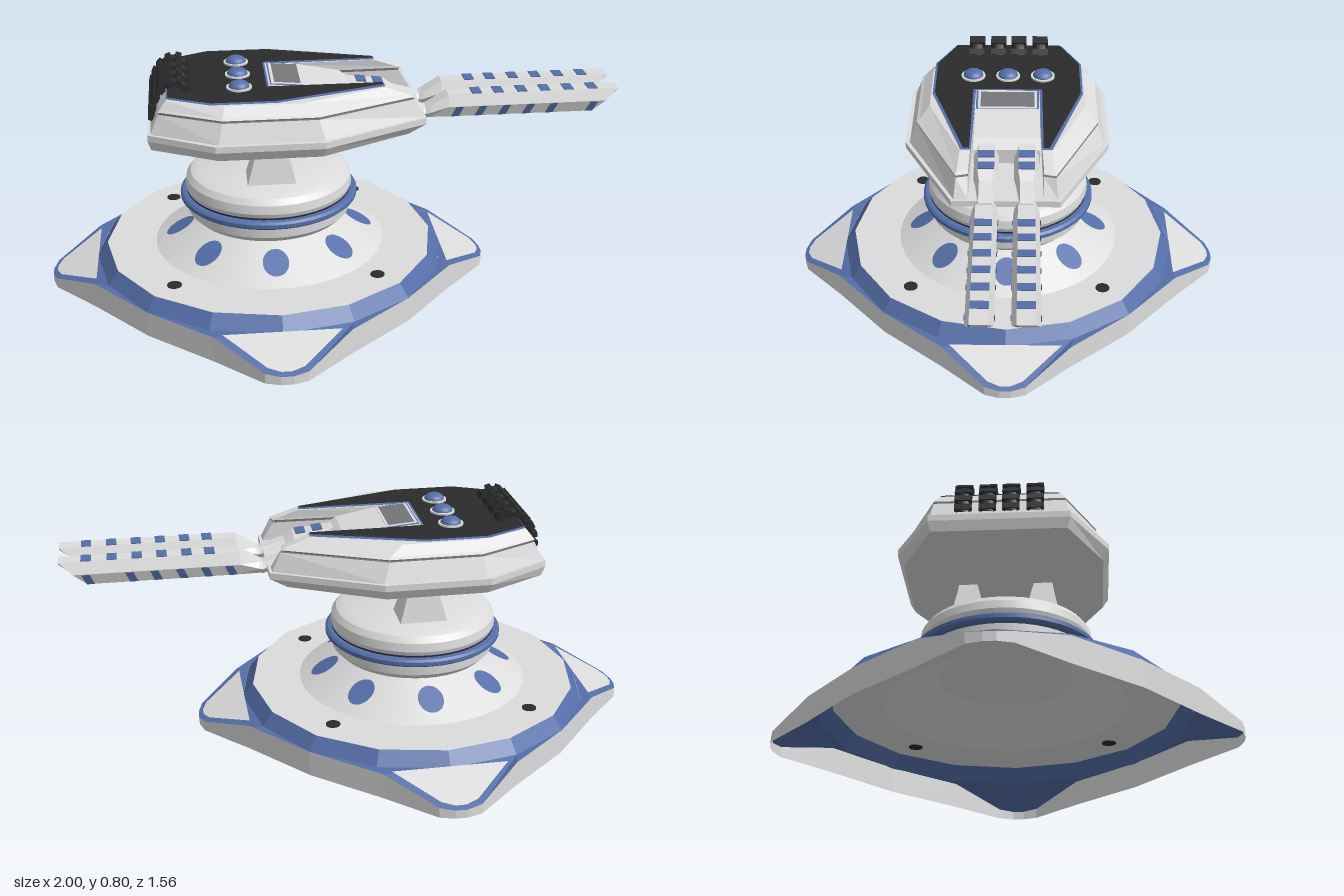
import * as THREE from 'three';
import { toCreasedNormals } from 'three/addons/utils/BufferGeometryUtils.js';

const mat = (name, color) => new THREE.MeshStandardMaterial({ name, color, side: THREE.DoubleSide });

// Flat-shaded skin between closed rings of [x, y, z] points
function loft(rings) {
  const pos = [];
  for (let r = 0; r + 1 < rings.length; r++) {
    const a = rings[r], b = rings[r + 1], n = a.length;
    for (let i = 0; i < n; i++) {
      const j = (i + 1) % n;
      pos.push(...a[i], ...a[j], ...b[i], ...a[j], ...b[j], ...b[i]);
    }
  }
  return fromPositions(pos);
}
function fromPositions(pos) {
  const g = new THREE.BufferGeometry();
  g.setAttribute('position', new THREE.Float32BufferAttribute(pos, 3));
  g.computeVertexNormals();
  return g;
}
const quad = (a, b, c, d) => fromPositions([...a, ...b, ...c, ...a, ...c, ...d]);

// Upward-facing polygon from [x, z] points, with height given by a rule
function flat(points, height) {
  const g = new THREE.ShapeGeometry(new THREE.Shape(points.map(([x, z]) => new THREE.Vector2(x, -z))));
  g.rotateX(-Math.PI / 2);
  const p = g.attributes.position;
  for (let i = 0; i < p.count; i++) p.setY(i, height(p.getX(i)));
  const out = g.toNonIndexed();
  out.computeVertexNormals();
  return out;
}
const mirror = half => [...half, ...half.slice().reverse().map(([x, z]) => [x, -z])];
const ring = (y, half) => mirror(half).map(([x, z]) => [x, y, z]);
const lathe = (pts, n = 48) => toCreasedNormals(
  new THREE.LatheGeometry(pts.map(p => new THREE.Vector2(...p)), n), 0.5);

export function createModel() {
  const light = mat('light grey', 0xdcdcdc), blue = mat('blue', 0x546ea8);
  const black = mat('black', 0x2b2b2b), grey = mat('dark grey', 0x777577);
  const model = new THREE.Group();
  const add = (parent, name, geo, material, x = 0, y = 0, z = 0) => {
    const m = new THREE.Mesh(geo, material);
    m.name = name;
    m.position.set(x, y, z);
    parent.add(m);
    return m;
  };

  // Base: open shell with four pointed feet
  const base = new THREE.Group();
  base.name = 'base';
  base.position.x = -0.22;
  model.add(base);
  const slope = x => 0.09 - Math.max(0, x - 0.62) * 0.375;
  const foot = [[0.62, -0.225], [0.765, -0.07], [0.78, -0.02], [0.78, 0.02], [0.765, 0.07], [0.62, 0.225]];
  const edge = [[0.438, -0.438], ...foot, [0.438, 0.438]];
  const inset = [[0.615, -0.195], [0.748, -0.06], [0.765, -0.018], [0.765, 0.018], [0.748, 0.06], [0.615, 0.195]];
  for (let k = 0; k < 4; k++) {
    const corner = new THREE.Group();
    corner.name = 'foot';
    corner.rotation.y = k * Math.PI / 2;
    base.add(corner);
    const wall = [];
    for (let i = 0; i + 1 < edge.length; i++) {
      const [a, b] = [edge[i], edge[i + 1]];
      const A = [a[0], 0, a[1]], B = [b[0], 0, b[1]];
      const C = [b[0], slope(b[0]), b[1]], D = [a[0], slope(a[0]), a[1]];
      wall.push(...A, ...C, ...B, ...A, ...D, ...C);
    }
    add(corner, 'footWall', fromPositions(wall), light);
    add(corner, 'footTop', flat([...edge, [0.573, 0.237], [0.62, 0], [0.573, -0.237]], slope), blue);
    add(corner, 'footPanel', flat(inset, x => slope(x) + 0.004), light);
    // Bolt holes on the deck
    const hole = new THREE.CylinderGeometry(0.025, 0.025, 0.006, 16);
    add(corner, 'boltHole', hole, black, 0.345, 0.135, 0.345);
  }
  const sixteen = pts => new THREE.LatheGeometry(pts.map(p => new THREE.Vector2(...p)), 16).toNonIndexed();
  const facet = g => { g.computeVertexNormals(); return g; };
  add(base, 'baseBand', facet(sixteen([[0.62, 0.088], [0.582, 0.135]])), blue);
  add(base, 'baseDeck', facet(sixteen([[0.582, 0.135], [0.405, 0.135]])), light);
  add(base, 'baseCone', lathe([[0.408, 0.135], [0.225, 0.235], [0, 0.235]]), light);
  for (let k = 0; k < 8; k++) {
    const spoke = new THREE.Group();
    spoke.name = 'coneSpot';
    spoke.rotation.y = k * Math.PI / 4;
    base.add(spoke);
    const g = new THREE.CircleGeometry(1, 24).rotateY(Math.PI / 2).scale(1, 0.056, 0.045).rotateZ(1.07);
    add(spoke, 'spot', g, blue, 0.32, 0.1875, 0);
  }

  // Turntable
  add(base, 'turntableLower', lathe([[0.2, 0.234], [0.265, 0.242], [0.288, 0.265], [0.29, 0.302], [0.27, 0.305]]), light);
  add(base, 'turntableRing', lathe([[0.27, 0.303], [0.305, 0.305], [0.313, 0.312], [0.313, 0.325],
    [0.305, 0.332], [0.27, 0.334]]), blue);
  add(base, 'turntableGroove', lathe([[0.29, 0.334], [0.29, 0.34]]), black);
  add(base, 'turntableUpper', lathe([[0.27, 0.34], [0.288, 0.34], [0.294, 0.355], [0.29, 0.385], [0.275, 0.405],
    [0.245, 0.418], [0, 0.42]]), light);

  // Fork holding the head
  const slab = (y, hx, z0, z1) => [[-hx, y, z0], [hx, y, z0], [hx, y, z1], [-hx, y, z1]];
  for (const s of [1, -1]) {
    add(base, 'forkArm', loft([slab(0.41, 0.085, s * 0.06, s * 0.19), slab(0.55, 0.045, s * 0.09, s * 0.165),
      slab(0.59, 0.035, s * 0.1, s * 0.16)]), light);
  }
  add(base, 'forkAxle', new THREE.CylinderGeometry(0.028, 0.028, 0.2, 20).rotateX(Math.PI / 2), light, 0, 0.485, 0);

  // Head hull
  const head = new THREE.Group();
  head.name = 'head';
  model.add(head);
  const low = [[-0.62, 0.22], [-0.4, 0.335], [-0.06, 0.335], [0.25, 0.175], [0.25, 0.08]];
  const mid = [[-0.63, 0.23], [-0.41, 0.355], [-0.05, 0.355], [0.31, 0.18], [0.31, 0.1]];
  const rim = [[-0.62, 0.225], [-0.4, 0.34], [-0.05, 0.34], [0.3, 0.172], [0.3, 0.125], [-0.22, 0.115]];
  const shoulder = [[-0.592, 0.215], [-0.385, 0.315], [-0.07, 0.315], [0.27, 0.165], [0.26, 0.125], [-0.22, 0.115]];
  const groove = [[-0.588, 0.212], [-0.383, 0.305], [-0.075, 0.305], [0.255, 0.162], [0.25, 0.125], [-0.22, 0.115]];
  const top = [[-0.565, 0.2], [-0.375, 0.272], [-0.12, 0.272], [0.17, 0.155], [0.17, 0.12], [-0.22, 0.115]];
  add(head, 'lowerHull', loft([ring(0.58, low), ring(0.615, mid), ring(0.637, mid)]), light);
  add(head, 'hullBottom', flat(mirror(low), () => 0.58), light);
  add(head, 'hullLedge', flat(mirror(mid), () => 0.637), light);
  add(head, 'hullSides', loft([ring(0.637, rim), ring(0.702, shoulder)]), light);
  add(head, 'hullGroove', loft([ring(0.702, shoulder), ring(0.702, groove), ring(0.71, groove)]), grey);
  add(head, 'upperHull', loft([ring(0.71, shoulder), ring(0.716, groove), ring(0.745, top)]), light);
  add(head, 'hullTop', flat(mirror(top), () => 0.745), light);

  // Black deck with blue trim
  const trim = [[-0.565, 0.195], [-0.42, 0.266], [-0.2, 0.266], [0.17, 0.153], [0.17, 0.118], [-0.22, 0.113]];
  const deck = [[-0.56, 0.19], [-0.418, 0.258], [-0.202, 0.258], [0.165, 0.143], [0.165, 0.124], [-0.227, 0.122]];
  add(head, 'deckTrim', flat(mirror(trim), () => 0.748), blue);
  add(head, 'deck', flat(mirror(deck), () => 0.752), black);

  // Domed lamps
  for (const z of [-0.125, 0, 0.125]) {
    add(head, 'lampRing', new THREE.CylinderGeometry(0.043, 0.043, 0.008, 24), light, -0.32, 0.754, z);
    const dome = new THREE.SphereGeometry(0.036, 20, 8, 0, Math.PI * 2, 0, Math.PI / 2).scale(1, 0.65, 1);
    add(head, 'lamp', dome, blue, -0.32, 0.756, z);
  }

  // Ribbed hoses at the back
  const path = new THREE.CatmullRomCurve3([[-0.615, 0.65], [-0.608, 0.71], [-0.575, 0.765], [-0.535, 0.782],
    [-0.503, 0.77], [-0.488, 0.745]].map(([x, y]) => new THREE.Vector3(x, y, 0)));
  for (const z of [-0.117, -0.038, 0.038, 0.117]) {
    const hose = new THREE.Group();
    hose.name = 'hose';
    hose.position.z = z;
    head.add(hose);
    add(hose, 'hoseCore', new THREE.TubeGeometry(path, 20, 0.01, 8).scale(1, 1, 2.2), black);
    for (let i = 0; i < 7; i++) {
      const t = (i + 0.5) / 7, p = path.getPointAt(t), d = path.getTangentAt(t);
      const rib = add(hose, 'hoseRib', new THREE.BoxGeometry(0.02, 0.026, 0.056), black, p.x, p.y, 0);
      rib.rotation.z = Math.atan2(d.y, d.x);
    }
  }

  // Breech housing sloping down towards the barrels
  const side = [[-0.22, 0.637], [-0.22, 0.752], [-0.1, 0.742], [0.04, 0.715], [0.08, 0.69], [0.08, 0.637]];
  const wall = z => side.map(([x, y]) => [x, y, z]);
  add(head, 'breech', loft([wall(-0.113), wall(0.113)]), light);
  const strip = (x0, x1, hz, lift) => {
    const y = x => 0.752 - (x + 0.22) / 12 + lift;
    return quad([x0, y(x0), hz], [x1, y(x1), hz], [x1, y(x1), -hz], [x0, y(x0), -hz]);
  };
  add(head, 'breechTrim', strip(-0.215, -0.102, 0.11, 0.002), blue);
  add(head, 'breechFrame', strip(-0.21, -0.102, 0.103, 0.004), light);
  add(head, 'screen', strip(-0.2, -0.11, 0.094, 0.006), grey);

  // Twin barrels
  const hex = (x, yb, yt, w, skew = 0) => {
    const ym = (yb + yt) / 2, n = 0.65 * w;
    return [[x - skew, yb, -n], [x - skew / 2, ym, -w], [x, yt, -n],
      [x, yt, n], [x - skew / 2, ym, w], [x - skew, yb, n]];
  };
  for (const s of [1, -1]) {
    const barrel = new THREE.Group();
    barrel.name = 'barrel';
    barrel.position.z = s * 0.068;
    model.add(barrel);
    add(barrel, 'barrelRoot', loft([hex(0.04, 0.63, 0.705, 0.042), hex(0.2, 0.62, 0.685, 0.042),
      hex(0.23, 0.61, 0.665, 0.034), hex(0.33, 0.602, 0.637, 0.034)]), light);
    add(barrel, 'barrelBody', loft([hex(0.32, 0.602, 0.637, 0.034), hex(0.335, 0.605, 0.645, 0.04),
      hex(0.4, 0.605, 0.685, 0.043), hex(1.0, 0.605, 0.687, 0.043, 0.09)]), light);
    add(barrel, 'bore', loft([hex(1.0, 0.612, 0.68, 0.036, 0.09), hex(0.84, 0.612, 0.68, 0.036),
      hex(0.84, 0.645, 0.647, 0.001)]), grey);
    // Painted stripes on top and on the lower flanks
    for (const x of [0.5, 0.577, 0.66, 0.742, 0.825, 0.91]) {
      add(barrel, 'topStripe', new THREE.BoxGeometry(0.034, 0.004, 0.056), blue, x, 0.687, 0);
    }
    for (const x of [0.41, 0.492, 0.575, 0.66, 0.742, 0.885]) {
      for (const f of [1, -1]) {
        add(barrel, 'sideStripe', quad([x, 0.606, f * 0.032], [x + 0.027, 0.606, f * 0.032],
          [x + 0.042, 0.645, f * 0.046], [x + 0.015, 0.645, f * 0.046]), blue);
      }
    }
    for (const x of [0.115, 0.175]) {
      const m = add(barrel, 'rootStripe', new THREE.BoxGeometry(0.035, 0.005, 0.056), blue, x, 0.7065 - (x - 0.04) / 8, 0);
      m.rotation.z = -0.124;
    }
  }
  return model;
}
